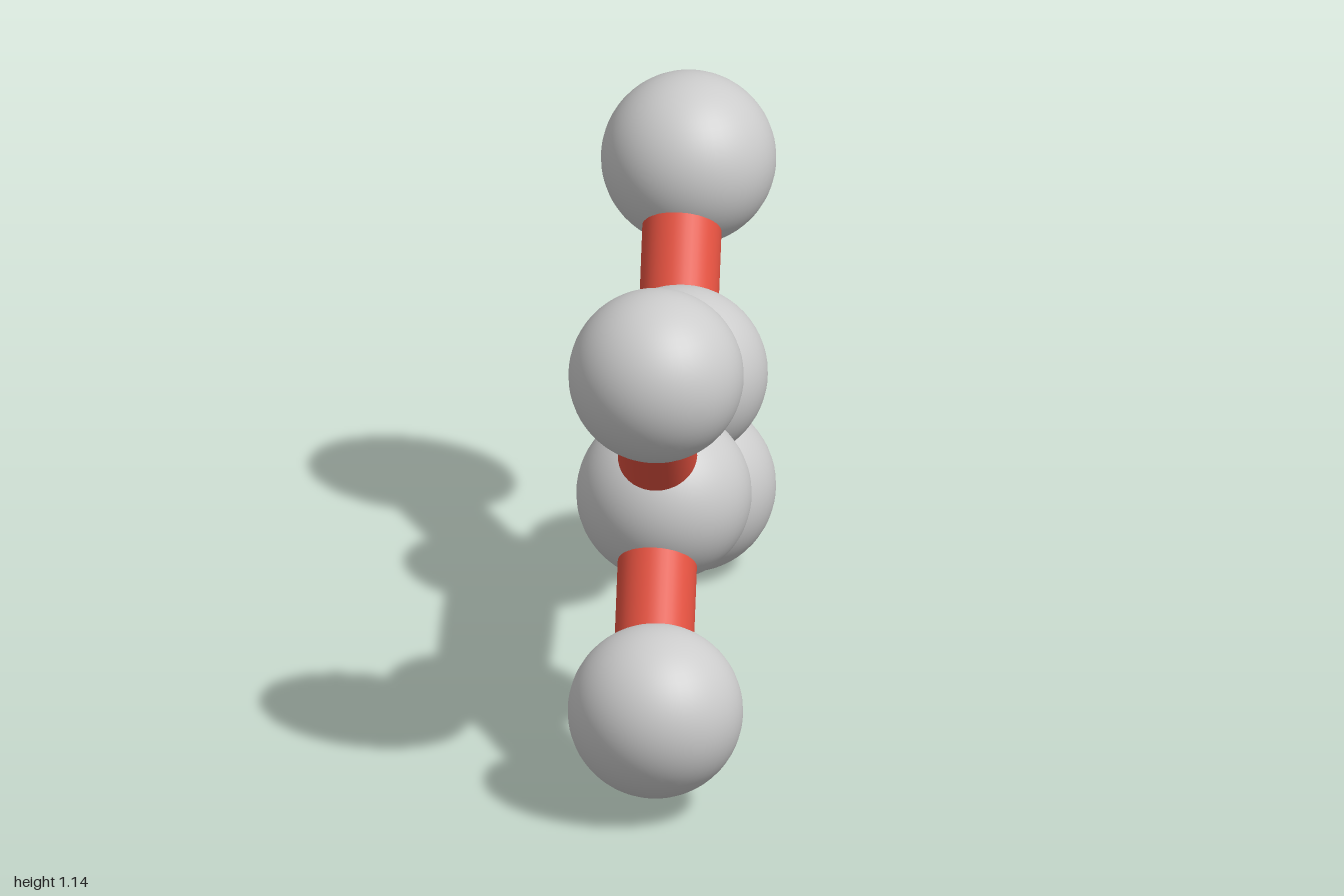
import * as THREE from 'three';

const X = -0.515; // plane of the atom centres
const BOND_X = -0.523; // bonds sit slightly off that plane

export function createModel() {
  const model = new THREE.Group();
  model.name = 'molecule';
  const grey = new THREE.MeshStandardMaterial({ color: 0xcccccc });
  const red = new THREE.MeshStandardMaterial({ color: 0xe0503f });
  const atomGeometry = new THREE.SphereGeometry(0.181, 48, 32);

  function addAtom(name, [y, z]) {
    const atom = new THREE.Mesh(atomGeometry, grey);
    atom.name = name;
    atom.position.set(X, y, z);
    model.add(atom);
  }

  // Cylinder between two [y, z] points
  function addBond(name, from, to, radius) {
    const a = new THREE.Vector3(BOND_X, ...from);
    const b = new THREE.Vector3(BOND_X, ...to);
    const bond = new THREE.Mesh(new THREE.CylinderGeometry(radius, radius, a.distanceTo(b), 40), red);
    bond.name = name;
    bond.position.addVectors(a, b).multiplyScalar(0.5);
    bond.quaternion.setFromUnitVectors(new THREE.Vector3(0, 1, 0), b.sub(a).normalize());
    model.add(bond);
  }

  // Two inner atoms, each carrying an upper and a lower outer atom
  const ends = [
    { name: 'front', inner: [0.57, 0.332], upper: [0.962, 0.658], lower: [0.228, 0.687] },
    { name: 'back', inner: [0.57, -0.336], upper: [0.909, -0.682], lower: [0.186, -0.671] },
  ];
  for (const end of ends) {
    addAtom(end.name + 'InnerAtom', end.inner);
    for (const level of ['upper', 'lower']) {
      const label = level[0].toUpperCase() + level.slice(1);
      addAtom(end.name + label + 'Atom', end[level]);
      addBond(end.name + label + 'Bond', end.inner, end[level], 0.082);
    }
  }

  // Parallel pair of bonds joining the inner atoms
  addBond('upperCentreBond', [0.641, 0.3], [0.641, -0.3], 0.056);
  addBond('lowerCentreBond', [0.488, 0.3], [0.488, -0.3], 0.056);

  return model;
}
